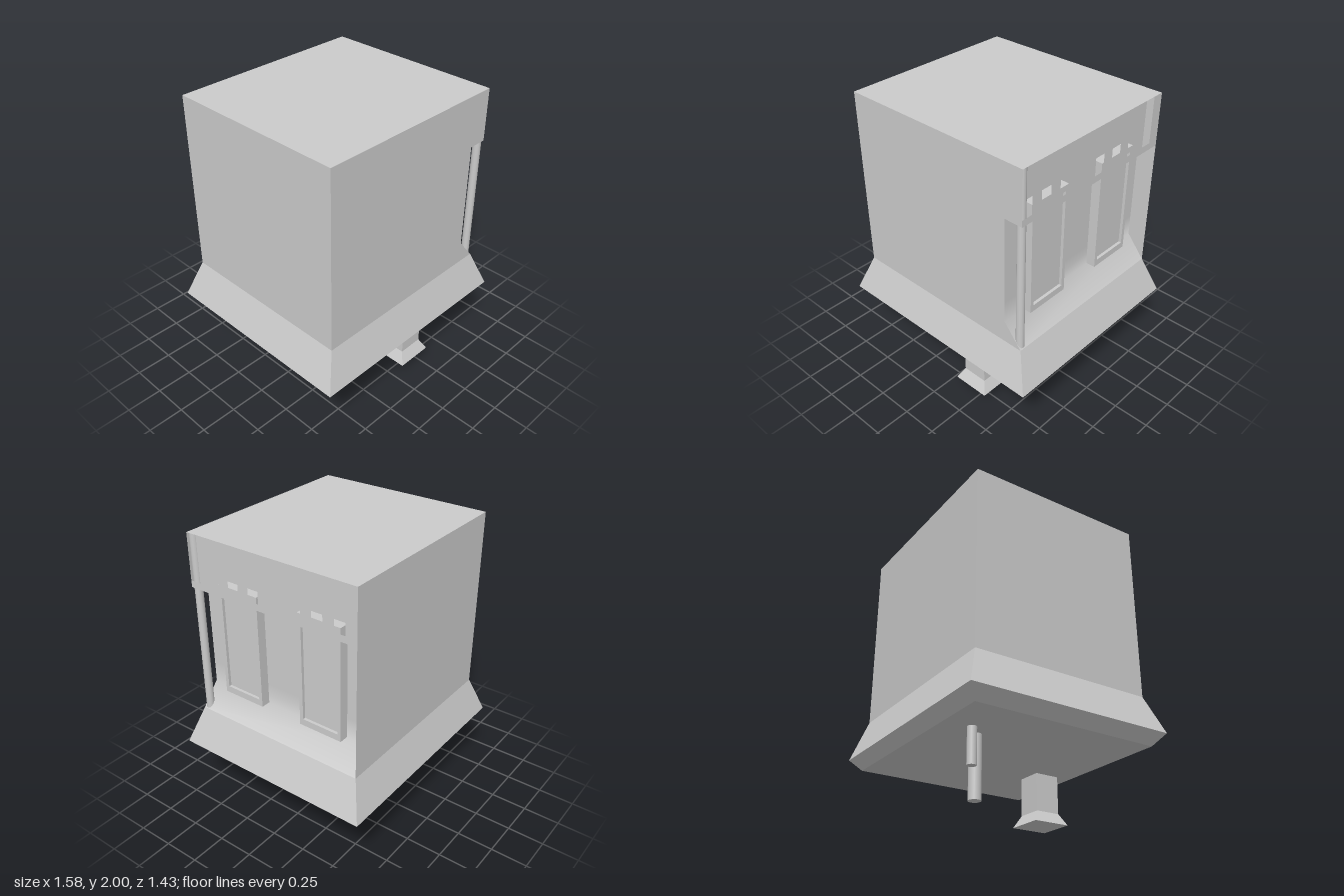
import * as THREE from 'three';

const grey = new THREE.MeshStandardMaterial({ color: 0xcccccc });
const thin = new THREE.MeshStandardMaterial({ color: 0xcccccc, side: THREE.DoubleSide });

const X = 0.69, Z = 0.63;        // half width and half depth of the walls
const EAVE = 0.745, TOP = 2;     // bottom and top of the walls
const WALL = 0.56;               // recessed wall of the porch
const LINTEL = 1.64;             // underside of the frieze

function add(parent, name, geometry, material = grey) {
  const mesh = new THREE.Mesh(geometry, material);
  mesh.name = name;
  parent.add(mesh);
  return mesh;
}

function shapeOf(points) {
  return new THREE.Shape(points.map(([x, y]) => new THREE.Vector2(x, y)));
}

// Box whose top and bottom have different half sizes
function taper(y0, [x0, z0], y1, [x1, z1]) {
  const g = new THREE.BoxGeometry(2, 2, 2);
  const p = g.attributes.position;
  for (let i = 0; i < p.count; i++) {
    const up = p.getY(i) > 0;
    p.setXYZ(i, p.getX(i) * (up ? x1 : x0), up ? y1 : y0, p.getZ(i) * (up ? z1 : z0));
  }
  const flat = g.toNonIndexed();
  flat.computeVertexNormals();
  return flat;
}

// Turns a shape drawn in (-z, y) to face +x
function faceRight(geometry, x) {
  return geometry.rotateY(Math.PI / 2).translate(x, 0, 0);
}

function pipe(radius, y0, y1, x, z, sides = 20) {
  return new THREE.CylinderGeometry(radius, radius, y1 - y0, sides).translate(x, (y0 + y1) / 2, z);
}

// Smooth wall that sweeps out into the skirt at its foot
function recessedWall() {
  const profile = [[WALL, TOP], [WALL, 1.05], [WALL, 0.9], [X, EAVE]];
  const g = new THREE.PlaneGeometry(2 * Z, 1, 1, profile.length - 1);
  const p = g.attributes.position;
  for (let i = 0; i < p.count; i++) {
    const [x, y] = profile[Math.floor(i / 2)];
    p.setXYZ(i, x, y, i % 2 ? -Z : Z);
  }
  g.computeVertexNormals();
  return g;
}

// Window frame with a shallow sunken pane
function windowUnit(z) {
  const group = new THREE.Group();
  group.name = 'window';
  const y0 = 0.905, y1 = 1.68, half = 0.157, inner = 0.132;
  const frame = shapeOf([[-half, y0], [half, y0], [half, y1], [-half, y1]]);
  frame.holes.push(shapeOf([[-inner, 0.95], [-inner, 1.64], [inner, 1.64], [inner, 0.95]]));
  const frameGeometry = new THREE.ExtrudeGeometry(frame, { depth: 0.065, bevelEnabled: false });
  add(group, 'windowFrame', faceRight(frameGeometry, WALL));
  const pane = new THREE.BoxGeometry(0.05, 0.7, 2 * inner + 0.01);
  add(group, 'windowPane', pane.translate(WALL + 0.02, 1.295, 0));
  group.position.z = z;
  return group;
}

// Comb of upright slats on a rail, filling the side from front to back
function frieze() {
  const step = 2 * Z / 16, rail = 1.685;
  const points = [[-Z, LINTEL], [Z, LINTEL]];
  for (let i = 7; i >= 0; i--) {
    const a = -Z + step * 2 * i;
    points.push([a + 2 * step, TOP], [a + step, TOP], [a + step, rail], [a, rail]);
  }
  // neighbouring slots share no corner, so the outline stays simple
  return faceRight(new THREE.ShapeGeometry(shapeOf(points)), X);
}

export function createModel() {
  const model = new THREE.Group();
  model.name = 'house';

  // Base: splayed skirt over a bevelled underside
  add(model, 'skirt', taper(0.485, [0.79, 0.715], EAVE, [X, Z]));
  add(model, 'underside', taper(0.405, [0.72, 0.645], 0.485, [0.79, 0.715]));

  // Thin shell: front wall with the open porch end, back, left side and roof
  const front = shapeOf([[-X, EAVE], [X, EAVE], [WALL, 0.9], [WALL, LINTEL],
    [X, LINTEL], [X, TOP], [-X, TOP]]);
  add(model, 'frontWall', new THREE.ShapeGeometry(front).translate(0, 0, Z), thin);
  const height = TOP - EAVE, mid = (TOP + EAVE) / 2;
  add(model, 'backWall', new THREE.PlaneGeometry(2 * X, height).rotateY(Math.PI).translate(0, mid, -Z), thin);
  add(model, 'sideWall', new THREE.PlaneGeometry(2 * Z, height).rotateY(-Math.PI / 2).translate(-X, mid, 0), thin);
  add(model, 'roof', new THREE.PlaneGeometry(2 * X, 2 * Z).rotateX(-Math.PI / 2).translate(0, TOP, 0), thin);

  // Porch: recessed wall, windows, corner post and frieze
  add(model, 'recessedWall', recessedWall(), thin);
  for (const z of [0.313, -0.313]) model.add(windowUnit(z));
  add(model, 'cornerPost', pipe(0.027, 0.74, TOP - 0.002, 0.66, 0.602, 12));
  add(model, 'frieze', frieze(), thin);

  // Below the floor: flared square leg and two pipes
  const leg = new THREE.Group();
  leg.name = 'leg';
  add(leg, 'legShaft', taper(0.145, [0.09, 0.088], 0.41, [0.09, 0.088]));
  add(leg, 'legFoot', taper(0.065, [0.132, 0.132], 0.145, [0.09, 0.088]));
  leg.position.set(0.195, 0, 0.452);
  model.add(leg);
  add(model, 'longPipe', pipe(0.04, 0, 0.41, -0.29, -0.373));
  add(model, 'shortPipe', pipe(0.03, 0.17, 0.41, -0.39, -0.458));

  return model;
}
